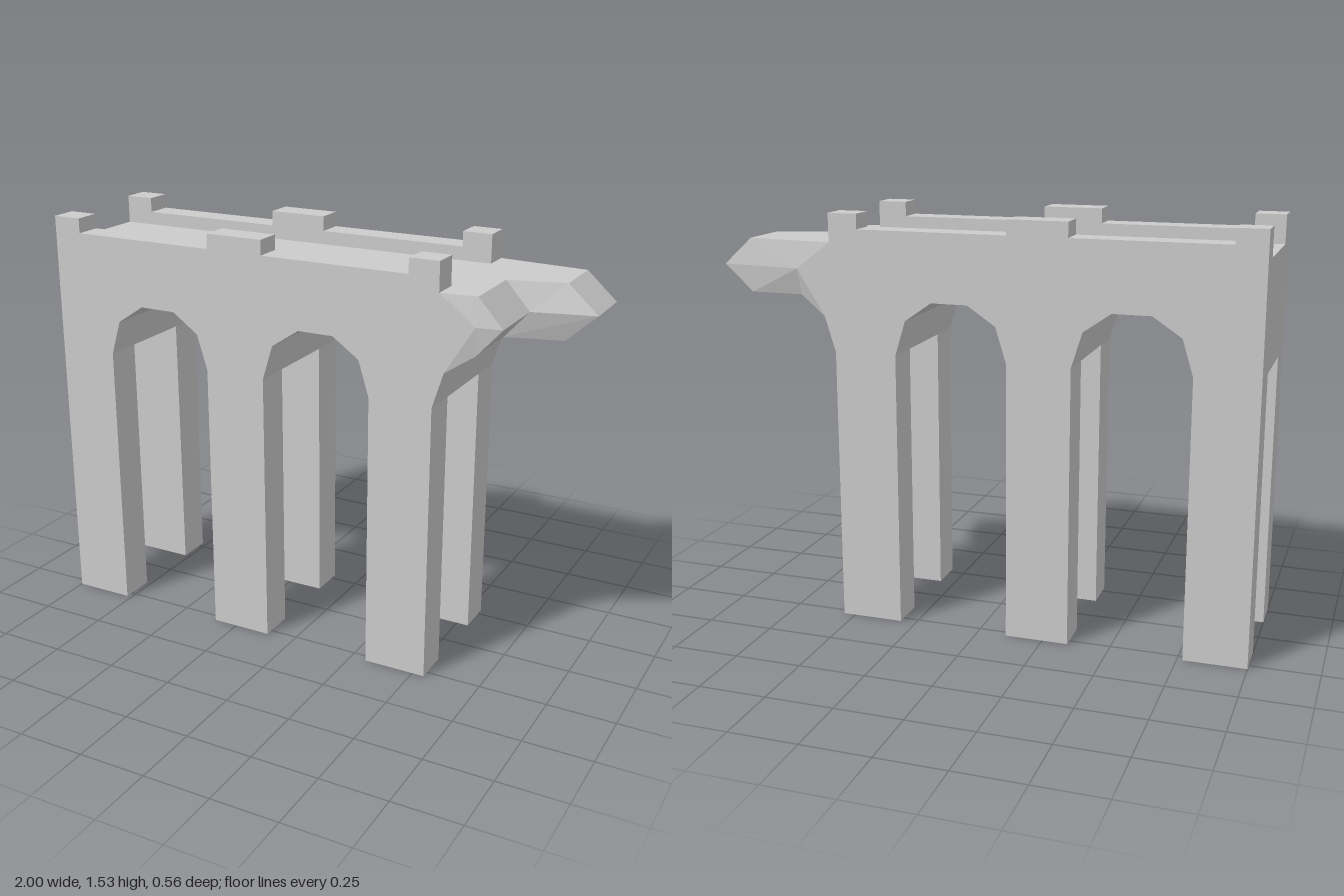
import * as THREE from 'three';

const HALF = 0.28, SPRING = 1.03, DECK = 1.43, MID = 1.33, CROWN = 1.23;
const PIERS = [[-1, -0.77], [-0.345, -0.11], [0.31, 0.545]];

// Lower outline, left to right: pier heads and faceted arches, ending in a half arch
function underside() {
  const pts = [];
  PIERS.forEach(([a, b], i) => {
    pts.push([a, SPRING], [b, SPRING], [b + 0.04, 1.16]);
    const next = PIERS[i + 1];
    if (next) pts.push([b + 0.145, CROWN], [next[0] - 0.14, CROWN], [next[0] - 0.04, 1.16]);
  });
  return pts;
}

// One lengthwise section; the broken end is a wedge whose end points may sit inset in z
function section({ z, endZ, ledge, tip }) {
  const at = (p, d) => new THREE.Vector3(p[0], p[1], d);
  return [
    ...underside().map(p => at(p, z)),
    ...[[0.69, CROWN], [ledge, CROWN], [tip, MID], [ledge, DECK]].map(p => at(p, endZ)),
    at([0.56, DECK], z), at([-1, DECK], z),
  ];
}

function spanGeometry() {
  const loops = [
    { z: HALF, endZ: 0.265, ledge: 0.69, tip: 0.78 },
    { z: 0.015, endZ: 0.015, ledge: 0.69, tip: 0.78 },
    { z: -0.04, endZ: -0.04, ledge: 0.89, tip: 1 },
    { z: -HALF, endZ: -0.25, ledge: 0.89, tip: 1 },
  ].map(section);
  const n = loops[0].length, pos = [];
  const tri = (a, b, c) => [a, b, c].forEach(v => pos.push(v.x, v.y, v.z));

  // Skin running across the width
  for (let k = 0; k < loops.length - 1; k++) {
    for (let i = 0; i < n; i++) {
      const j = (i + 1) % n, a = loops[k], b = loops[k + 1];
      tri(a[i], b[i], b[j]);
      tri(a[i], b[j], a[j]);
    }
  }

  // Side walls: flat wall up to a ridge point, then facets fanning to the broken end
  const haunch = n - 7, top = n - 2;
  for (const [loop, front] of [[loops[0], true], [loops[3], false]]) {
    const put = (a, b, c) => (front ? tri(a, b, c) : tri(a, c, b));
    const ridge = new THREE.Vector3(0.69, MID, loop[0].z);
    const wall = [...loop.slice(0, haunch + 1), ridge, ...loop.slice(top)];
    const flat = wall.map(v => new THREE.Vector2(v.x, v.y));
    THREE.ShapeUtils.triangulateShape(flat, []).forEach(([a, b, c]) => put(wall[a], wall[b], wall[c]));
    for (let i = haunch; i < top; i++) put(ridge, loop[i], loop[i + 1]);
  }

  const g = new THREE.BufferGeometry();
  g.setAttribute('position', new THREE.Float32BufferAttribute(pos, 3));
  g.computeVertexNormals();
  return g;
}

// Low wall with three raised blocks
function parapetGeometry() {
  const low = 1.48, high = 1.535;
  const shape = new THREE.Shape();
  shape.moveTo(-1, DECK);
  shape.lineTo(0.56, DECK);
  for (const [a, b] of [[0.45, 0.56], [-0.33, -0.11], [-1, -0.89]]) {
    if (b < 0.5) shape.lineTo(b, low);
    shape.lineTo(b, high);
    shape.lineTo(a, high);
    if (a > -1) shape.lineTo(a, low);
  }
  shape.closePath();
  return new THREE.ExtrudeGeometry(shape, { depth: 0.1, bevelEnabled: false });
}

export function createModel() {
  const model = new THREE.Group();
  model.name = 'brokenBridge';
  const stone = new THREE.MeshStandardMaterial({ color: 0xcccccc, flatShading: true });
  const add = (name, geometry) => {
    const mesh = new THREE.Mesh(geometry, stone);
    mesh.name = name;
    model.add(mesh);
    return mesh;
  };

  add('archedSpan', spanGeometry());

  // Parapets and piers on both sides
  const parapet = parapetGeometry();
  for (const [side, label] of [[1, 'front'], [-1, 'back']]) {
    add(label + 'Parapet', parapet).position.z = side > 0 ? HALF - 0.1 : -HALF;
    PIERS.forEach(([a, b], i) => {
      const pier = add(label + 'Pier' + (i + 1), new THREE.BoxGeometry(b - a, SPRING, 0.137));
      pier.position.set((a + b) / 2, SPRING / 2, side * (HALF - 0.0685));
    });
  }
  return model;
}
